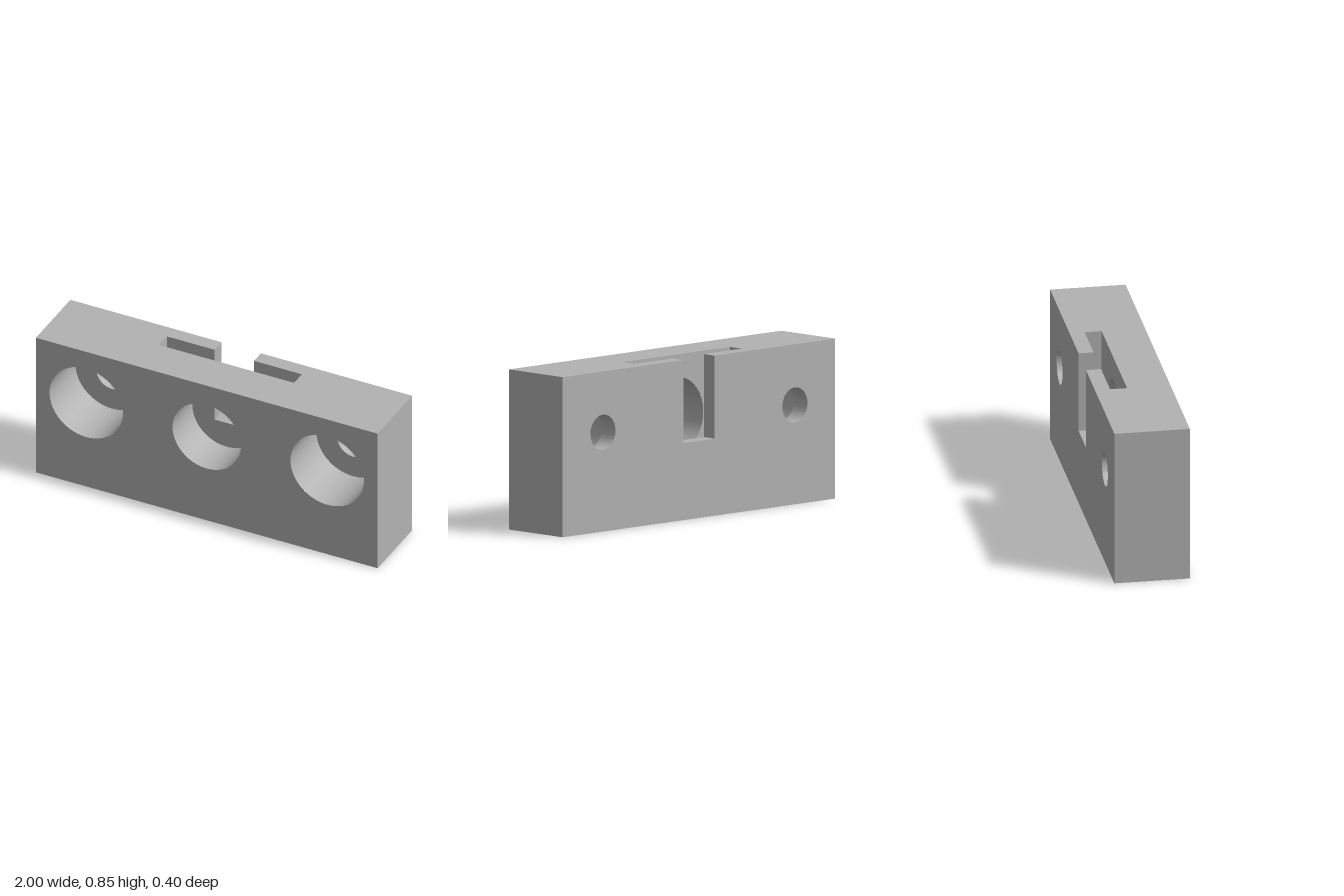
import * as THREE from 'three';
import { toCreasedNormals } from 'three/addons/utils/BufferGeometryUtils.js';

const H = 0.845, D = 0.2;                 // block height, half depth
const HOLE_Y = 0.525, SIDE_X = 0.705;     // hole centres
const BIG = 0.215, SMALL = 0.092, MID = 0.2;
const FLOOR_Z = -0.1;                     // counterbore floor
const POCKET = { w: 0.395, y: 0.13, z0: -0.12, z1: -0.03 };
const NOTCH = { w: 0.115, y: 0.407 };
const SEG = 64;

const shapeOf = pts => new THREE.Shape(pts.map(p => new THREE.Vector2(...p)));

function addHole(shape, x, r) {
  shape.holes.push(new THREE.Path().absarc(x, HOLE_Y, r, 0, Math.PI * 2, true));
  return shape;
}

// flat face in the xy plane, looking to +z or -z (all outlines are symmetric in x)
function face(shape, z, back = false) {
  const g = new THREE.ShapeGeometry(shape, SEG);
  if (back) g.rotateY(Math.PI);
  return g.translate(0, 0, z);
}

// straight walls along a path, solid material on the left of the path
function walls(path, z0, z1) {
  const pos = [];
  for (let i = 0; i < path.length - 1; i++) {
    const [a, b] = [path[i], path[i + 1]];
    pos.push(...a, z0, ...b, z0, ...b, z1, ...a, z0, ...b, z1, ...a, z1);
  }
  const g = new THREE.BufferGeometry();
  g.setAttribute('position', new THREE.Float32BufferAttribute(pos, 3));
  g.computeVertexNormals();
  return g;
}

// inward-facing bore, profile of [radius, z] from front to back
function bore(profile, x) {
  const g = new THREE.LatheGeometry(profile.map(p => new THREE.Vector2(...p)), SEG);
  return toCreasedNormals(g.rotateX(Math.PI / 2).translate(x, HOLE_Y, 0), 0.6);
}

export function createModel() {
  const group = new THREE.Group();
  const grey = new THREE.MeshStandardMaterial({ color: 0xb2b2b2 });
  grey.name = 'plain grey';
  const add = (name, geometry) => {
    const mesh = new THREE.Mesh(geometry, grey);
    mesh.name = name;
    group.add(mesh);
  };
  const { w, y, z0, z1 } = POCKET;
  const n = NOTCH.w;
  const slot = (hw, bottom) => [[hw, H], [hw, bottom], [-hw, bottom], [-hw, H]];

  // outer faces of the block
  const front = shapeOf([[-1, 0], [1, 0], [1, H], [-1, H]]);
  addHole(front, 0, MID);
  const back = shapeOf([[-1, 0], [1, 0], [1, H], ...slot(n, NOTCH.y), [-1, H]]);
  for (const s of [-1, 1]) {
    addHole(front, s * SIDE_X, BIG);
    addHole(back, s * SIDE_X, SMALL);
  }
  add('frontFace', face(front, D));
  add('backFace', face(back, -D, true));
  add('endsAndBase', walls([[-1, H], [-1, 0], [1, 0], [1, H]], -D, D));

  // top face with the T-shaped slot opening
  const top = shapeOf([[-1, -D], [1, -D], [1, D], [n, D], [n, -z0], [w, -z0], [w, -z1],
    [-w, -z1], [-w, -z0], [-n, -z0], [-n, D], [-1, D]]);
  add('topFace', new THREE.ShapeGeometry(top).rotateX(-Math.PI / 2).translate(0, H, 0));

  // wide inner pocket and the narrow notch through the back
  const pocketFront = addHole(shapeOf([[-w, y], [w, y], [w, H], [-w, H]]), 0, MID);
  const pocketBack = shapeOf([[-w, y], [w, y], [w, H], ...slot(n, NOTCH.y), [-w, H]]);
  add('pocketFrontWall', face(pocketFront, z1, true));
  add('pocketBackWall', face(pocketBack, z0));
  add('pocketSides', walls(slot(w, y), z0, z1));
  add('notchSides', walls(slot(n, NOTCH.y), -D, z0));

  // centre bore and the two counterbored bolt holes
  add('centreBore', bore([[MID, D], [MID, z1]], 0));
  for (const [name, s] of [['leftBoltHole', 1], ['rightBoltHole', -1]]) {
    add(name, bore([[BIG, D], [BIG, FLOOR_Z], [SMALL, FLOOR_Z], [SMALL, -D]], s * SIDE_X));
  }
  return group;
}
